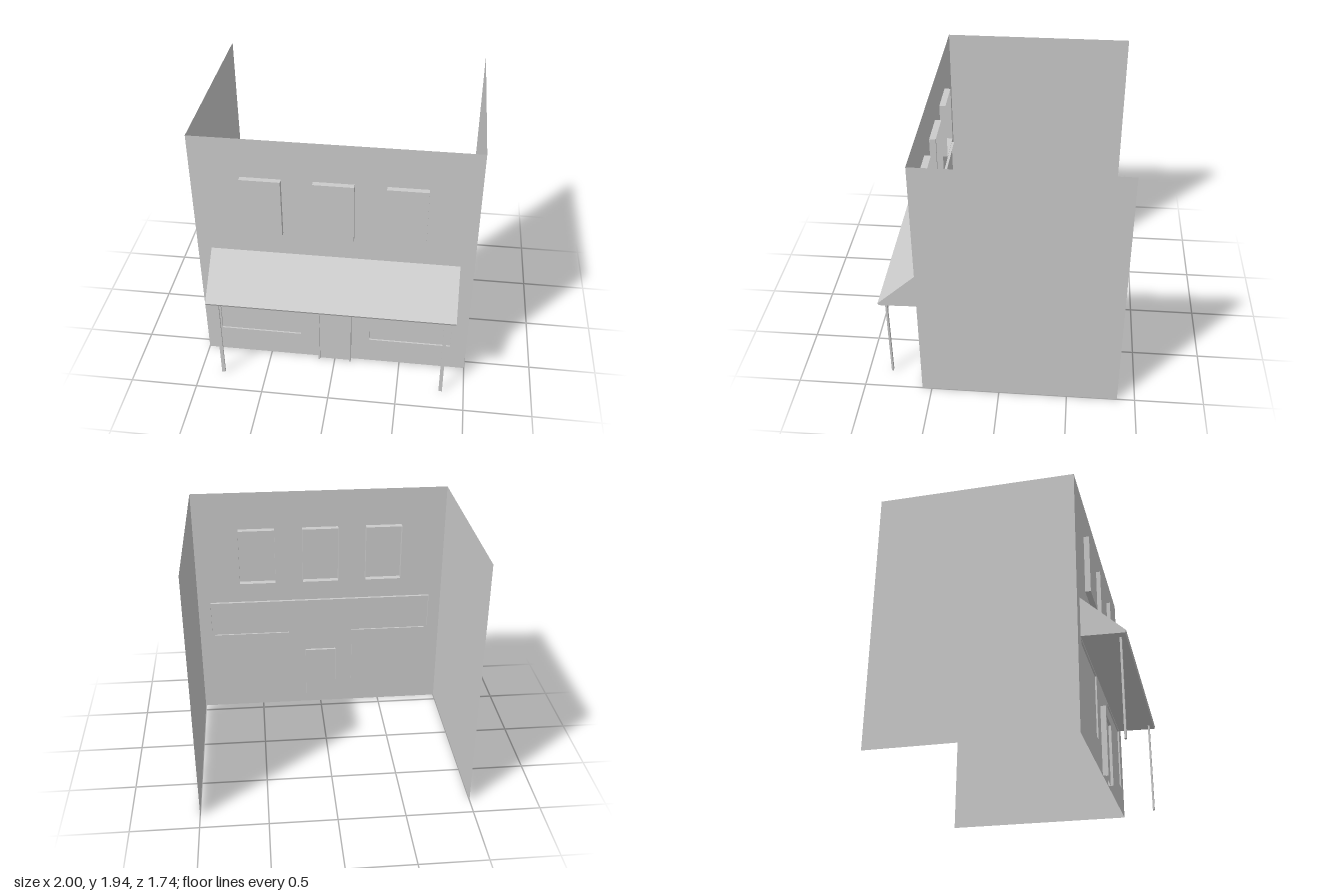
import * as THREE from 'three';

const material = new THREE.MeshStandardMaterial({ color: 0xcccccc, flatShading: true, side: THREE.DoubleSide });

const HEIGHT = 1.94, FRONT = 0.57, BACK = -0.87;

function add(parent, name, geometry, x = 0, y = 0, z = 0) {
  const mesh = new THREE.Mesh(geometry, material);
  mesh.name = name;
  mesh.position.set(x, y, z);
  parent.add(mesh);
  return mesh;
}

// Box between two corners, with the listed faces left out (0..5 = +x -x +y -y +z -z)
function openBox(x0, x1, y0, y1, z0, z1, missing = []) {
  const g = new THREE.BoxGeometry(x1 - x0, y1 - y0, z1 - z0);
  const index = Array.from(g.index.array);
  g.setIndex(index.filter((_, i) => !missing.includes(Math.floor(i / 6))));
  g.translate((x0 + x1) / 2, (y0 + y1) / 2, (z0 + z1) / 2);
  return g;
}

function rectangle(path, x0, x1, y0, y1) {
  path.moveTo(x0, y0).lineTo(x1, y0).lineTo(x1, y1).lineTo(x0, y1).closePath();
  return path;
}

function createAwning() {
  const group = new THREE.Group();
  group.name = 'awning';
  const half = 0.9;
  // Cross-section as z, y: from the wall, down the slope, round the lip, back underneath
  const profile = [[0.55, 1.0], [0.57, 1.0], [0.87, 0.72], [0.862, 0.703], [0.57, 0.71]];

  const cover = new THREE.PlaneGeometry(2 * half, 1, 1, profile.length - 1);
  const pos = cover.attributes.position;
  for (let i = 0; i < pos.count; i++) {
    const [z, y] = profile[Math.floor(i / 2)];
    pos.setXYZ(i, pos.getX(i), y, z);
  }
  const flat = cover.toNonIndexed();
  flat.computeVertexNormals();
  add(group, 'awningCover', flat);

  const outline = [...profile, [0.55, 0.71]].map(([z, y]) => new THREE.Vector2(z, y));
  for (const side of [-1, 1]) {
    const end = new THREE.ShapeGeometry(new THREE.Shape(outline)).rotateY(-Math.PI / 2);
    add(group, side > 0 ? 'awningEndLeft' : 'awningEndRight', end, side * half);
  }
  return group;
}

function createDoor() {
  const group = new THREE.Group();
  group.name = 'door';
  const w = 0.126, inner = 0.114, top = 0.525, lintel = 0.46;
  // Casing without front or back, closed by a frame face and a recessed panel
  add(group, 'doorCasing', openBox(-w, w, 0, top, 0.55, 0.61, [3, 4, 5]));
  const face = new THREE.Shape([
    [-w, 0], [-inner, 0], [-inner, lintel], [inner, lintel],
    [inner, 0], [w, 0], [w, top], [-w, top],
  ].map(([x, y]) => new THREE.Vector2(x, y)));
  add(group, 'doorFrame', new THREE.ShapeGeometry(face), 0, 0, 0.61);
  add(group, 'doorPanel', openBox(-inner, inner, 0, lintel, 0.59, 0.61, [3, 4]));
  return group;
}

export function createModel() {
  const model = new THREE.Group();
  model.name = 'shopBuilding';

  // Front wall with openings for the two shop windows
  const wall = rectangle(new THREE.Shape(), -1, 1, 0, HEIGHT);
  const shop = [[-0.88, -0.263], [0.263, 0.88]];
  for (const [x0, x1] of shop) wall.holes.push(rectangle(new THREE.Path(), x0, x1, 0.215, 0.7));
  add(model, 'frontWall', new THREE.ShapeGeometry(wall), 0, 0, FRONT);

  // Shallow recessed shop windows
  for (const [x0, x1] of shop) {
    add(model, 'shopWindow', openBox(x0, x1, 0.215, 0.7, FRONT - 0.012, FRONT, [4]));
  }

  // Side walls and awning posts
  for (const side of [-1, 1]) {
    const plane = new THREE.PlaneGeometry(FRONT - BACK, HEIGHT).rotateY(side * Math.PI / 2);
    add(model, side > 0 ? 'leftWall' : 'rightWall', plane, side, HEIGHT / 2, (FRONT + BACK) / 2);
    add(model, 'awningPost', new THREE.BoxGeometry(0.026, 0.71, 0.014), side * 0.828, 0.355, 0.825);
  }

  // Upper windows, open at the back
  for (const x of [-0.507, 0, 0.507]) {
    add(model, 'upperWindow', openBox(x - 0.143, x + 0.143, 1.183, 1.637, 0.523, 0.61, [5]));
  }

  model.add(createAwning(), createDoor());
  return model;
}
